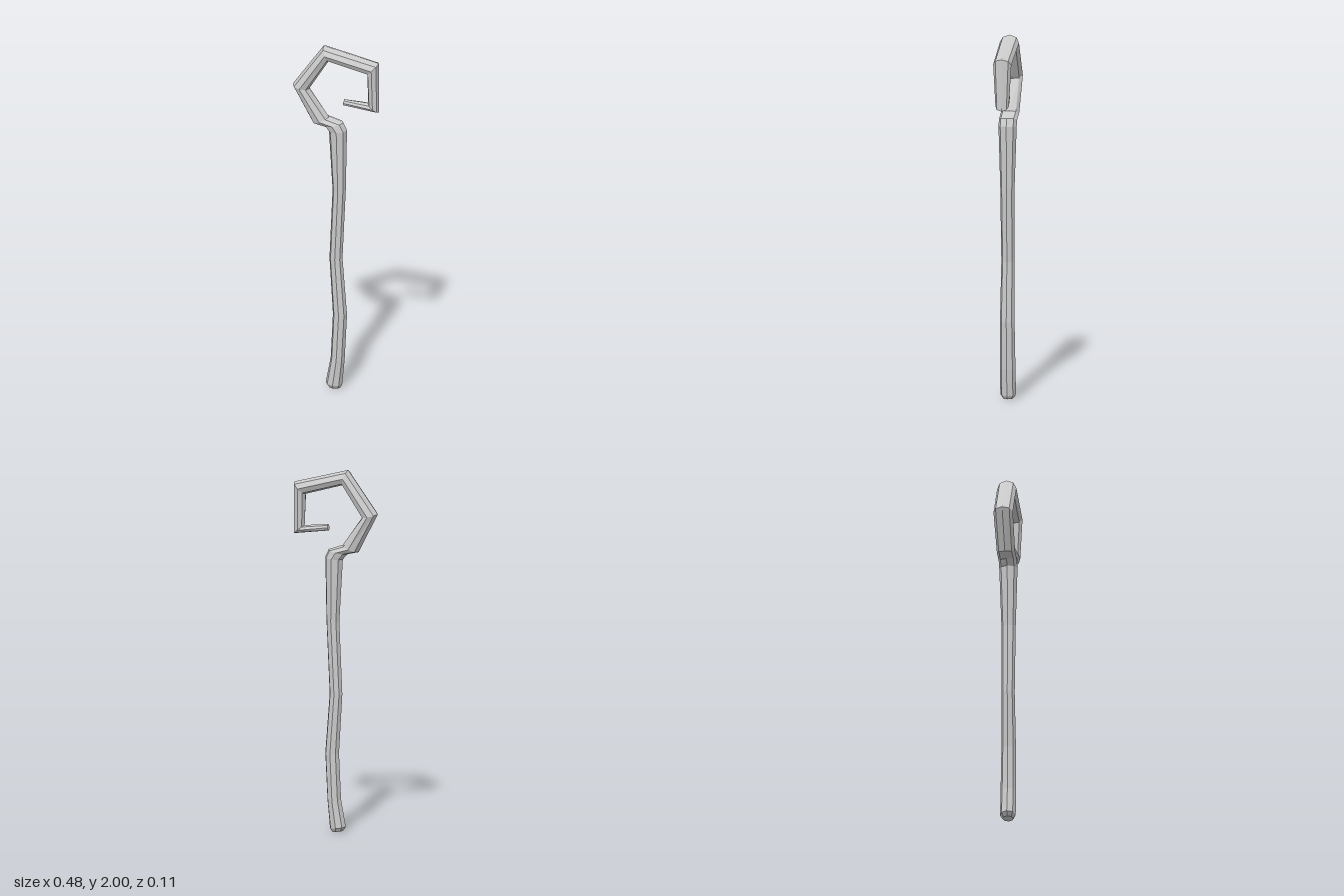
import * as THREE from 'three';

const SIDES = 8;

// Each section: left edge x, y, right edge x, y, and half depth in z
const SHAFT = [
  [-0.04, 0.005, 0.022, 0.0, 0.03],
  [-0.057, 0.028, 0.033, 0.018, 0.043],
  [-0.03, 0.177, 0.047, 0.168, 0.043],
  [-0.018, 0.432, 0.06, 0.432, 0.04],
  [-0.037, 0.76, 0.035, 0.76, 0.036],
  [-0.02, 1.16, 0.053, 1.16, 0.039],
  [-0.04, 1.505, 0.06, 1.515, 0.05],
];
// The crook runs clockwise, so its right edge is the inner one
const CROOK = [
  SHAFT[SHAFT.length - 1],
  [-0.066, 1.535, 0.04, 1.558, 0.05],
  [-0.13, 1.55, -0.04, 1.585, 0.05],
  [-0.24, 1.765, -0.15, 1.742, 0.053],
  [-0.07, 2.0, -0.04, 1.915, 0.053],
  [0.236, 1.92, 0.172, 1.855, 0.05],
  [0.238, 1.634, 0.178, 1.682, 0.037],
  [0.04, 1.66, 0.045, 1.695, 0.018],
];

// Skins mitred eight-sided rings, closing the chosen ends
function loft(sections, capStart, capEnd) {
  const pos = [], index = [];
  const ringCount = sections.length;
  for (const [lx, ly, rx, ry, depth] of sections) {
    for (let k = 0; k < SIDES; k++) {
      const a = (k / SIDES) * Math.PI * 2, c = Math.cos(a) / 2;
      pos.push((lx + rx) / 2 + (rx - lx) * c, (ly + ry) / 2 + (ry - ly) * c, depth * Math.sin(a));
    }
  }
  for (let i = 0; i < ringCount - 1; i++) {
    for (let k = 0; k < SIDES; k++) {
      const a = i * SIDES + k, b = i * SIDES + (k + 1) % SIDES;
      index.push(a, a + SIDES, b, b, a + SIDES, b + SIDES);
    }
  }
  const last = (ringCount - 1) * SIDES;
  for (let k = 1; k < SIDES - 1; k++) {
    if (capStart) index.push(0, k, k + 1);
    if (capEnd) index.push(last, last + k + 1, last + k);
  }
  const geo = new THREE.BufferGeometry();
  geo.setAttribute('position', new THREE.Float32BufferAttribute(pos, 3));
  geo.setIndex(index);
  const flat = geo.toNonIndexed();
  flat.computeVertexNormals();
  return flat;
}

export function createModel() {
  const group = new THREE.Group();
  group.name = 'staff';
  const material = new THREE.MeshStandardMaterial({ color: 0xcccccc, flatShading: true });
  const add = (name, geometry) => {
    const mesh = new THREE.Mesh(geometry, material);
    mesh.name = name;
    group.add(mesh);
  };
  add('shaft', loft(SHAFT, true, false));
  add('crook', loft(CROOK, false, true));
  return group;
}
